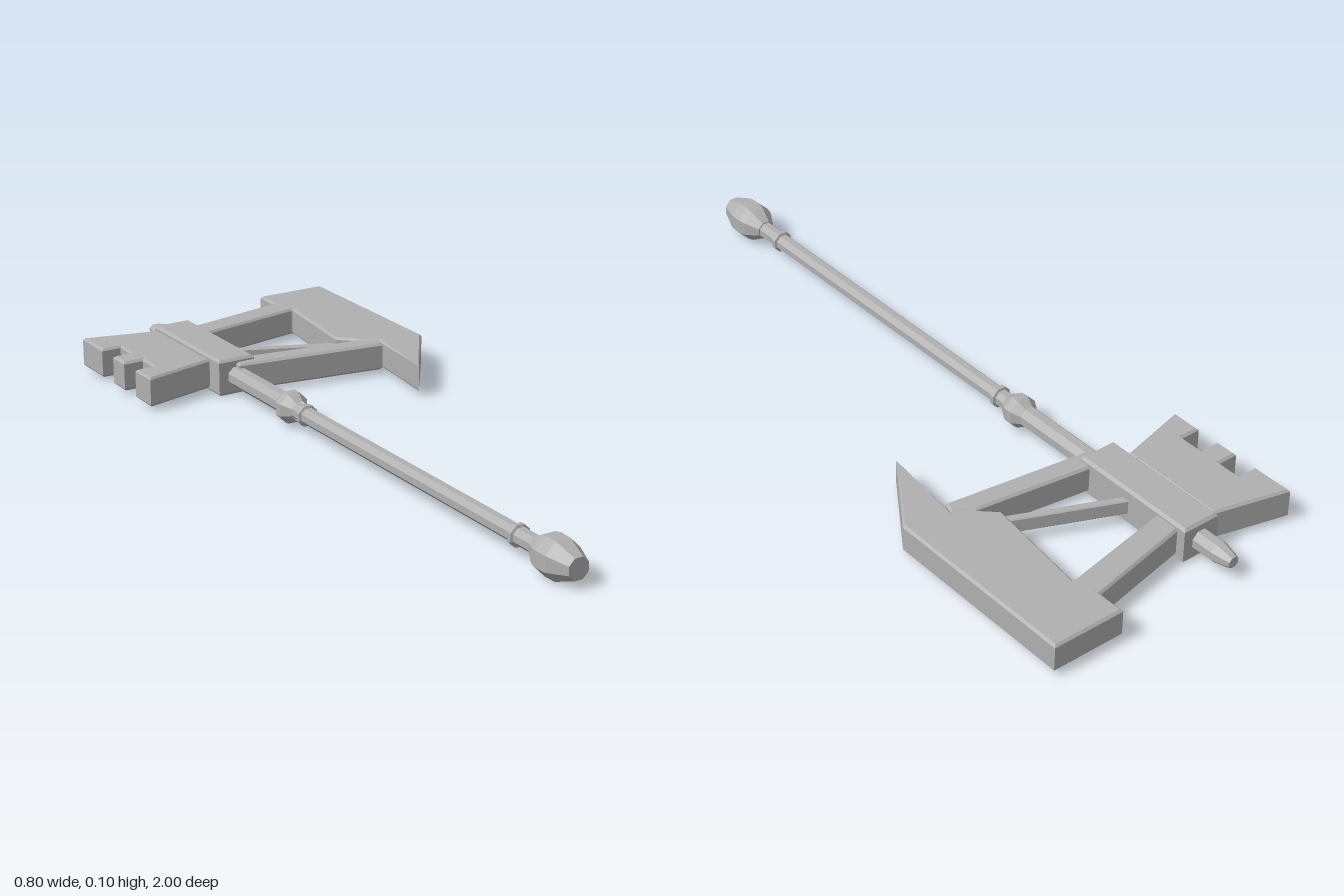
import * as THREE from 'three';

const CENTRE_X = -0.143, CENTRE_Y = 0.05;

export function createModel() {
  const group = new THREE.Group();
  group.name = 'battleAxe';
  const metal = new THREE.MeshStandardMaterial({ color: 0xb0b0b0 });
  metal.name = 'grey metal';

  const add = (name, geometry) => {
    // faceted normals
    const flat = geometry.index ? geometry.toNonIndexed() : geometry;
    flat.computeVertexNormals();
    const mesh = new THREE.Mesh(flat, metal);
    mesh.name = name;
    group.add(mesh);
  };

  // bevelled plate from an outline of [x, z] corners, between heights y0 and y1
  const plate = (name, corners, y0, y1, bevel = 0.006) => {
    const shape = new THREE.Shape(corners.map(([x, z]) => new THREE.Vector2(x, -z)));
    const g = new THREE.ExtrudeGeometry(shape, {
      depth: y1 - y0 - 2 * bevel, bevelEnabled: true, bevelSegments: 1,
      bevelSize: bevel, bevelThickness: bevel, bevelOffset: -bevel,
    });
    g.rotateX(-Math.PI / 2).translate(0, y0 + bevel, 0);
    add(name, g);
  };

  // eight-sided turned part from [half width, z] points, running towards +z
  const turned = (name, profile) => {
    const points = profile.map(([r, z]) => new THREE.Vector2(r / Math.cos(Math.PI / 8), z));
    const g = new THREE.LatheGeometry(points, 8, Math.PI / 8);
    g.rotateX(Math.PI / 2).translate(CENTRE_X, CENTRE_Y, 0);
    add(name, g);
  };

  // handle
  turned('tip', [[0, -1], [0.014, -1], [0.019, -0.985], [0.026, -0.95], [0.026, -0.86]]);
  turned('upperShaft', [[0.026, -0.86], [0.026, -0.26]]);
  turned('collar', [[0.024, -0.277], [0.04, -0.25], [0.04, -0.228], [0.024, -0.2]]);
  turned('shaft', [[0.021, -0.23], [0.021, 0.87]]);
  for (const z of [-0.162, 0.772]) {
    turned('ring', [[0.02, z - 0.009], [0.027, z - 0.006], [0.027, z + 0.006], [0.02, z + 0.009]]);
  }
  turned('pommel', [[0, 0.845], [0.024, 0.845], [0.045, 0.885], [0.049, 0.905],
    [0.048, 0.94], [0.027, 1], [0, 1]]);

  // socket joining the head to the handle
  plate('socket', [[-0.196, -0.89], [-0.09, -0.89], [-0.09, -0.525], [-0.196, -0.525]], 0, 0.1, 0.007);

  // notched hammer side
  plate('hammer', [
    [-0.4, -0.922], [-0.196, -0.872], [-0.196, -0.578], [-0.4, -0.525],
    [-0.4, -0.61], [-0.345, -0.61], [-0.345, -0.675], [-0.4, -0.675],
    [-0.4, -0.74], [-0.345, -0.74], [-0.345, -0.805], [-0.4, -0.805],
  ], 0.01, 0.091);

  // hooked blade
  plate('blade', [
    [0.2, -1], [0.4, -1], [0.4, -0.462], [0.255, -0.25], [0.277, -0.487],
    [0.23, -0.517], [0.184, -0.56], [0.218, -0.85], [0.2, -0.857],
  ], 0.013, 0.089);

  // arms carrying the blade
  plate('backArm', [[-0.1, -0.863], [0.22, -0.929], [0.22, -0.852], [-0.1, -0.79]], 0.013, 0.088);
  plate('frontArm', [[-0.145, -0.567], [0.225, -0.517], [0.278, -0.487], [0.268, -0.453], [-0.145, -0.506]], 0.013, 0.088);

  // slim diagonal brace
  plate('brace', [[-0.092, -0.699], [0.2, -0.572], [0.192, -0.552], [-0.1, -0.679]], 0.03, 0.07, 0.003);

  return group;
}
